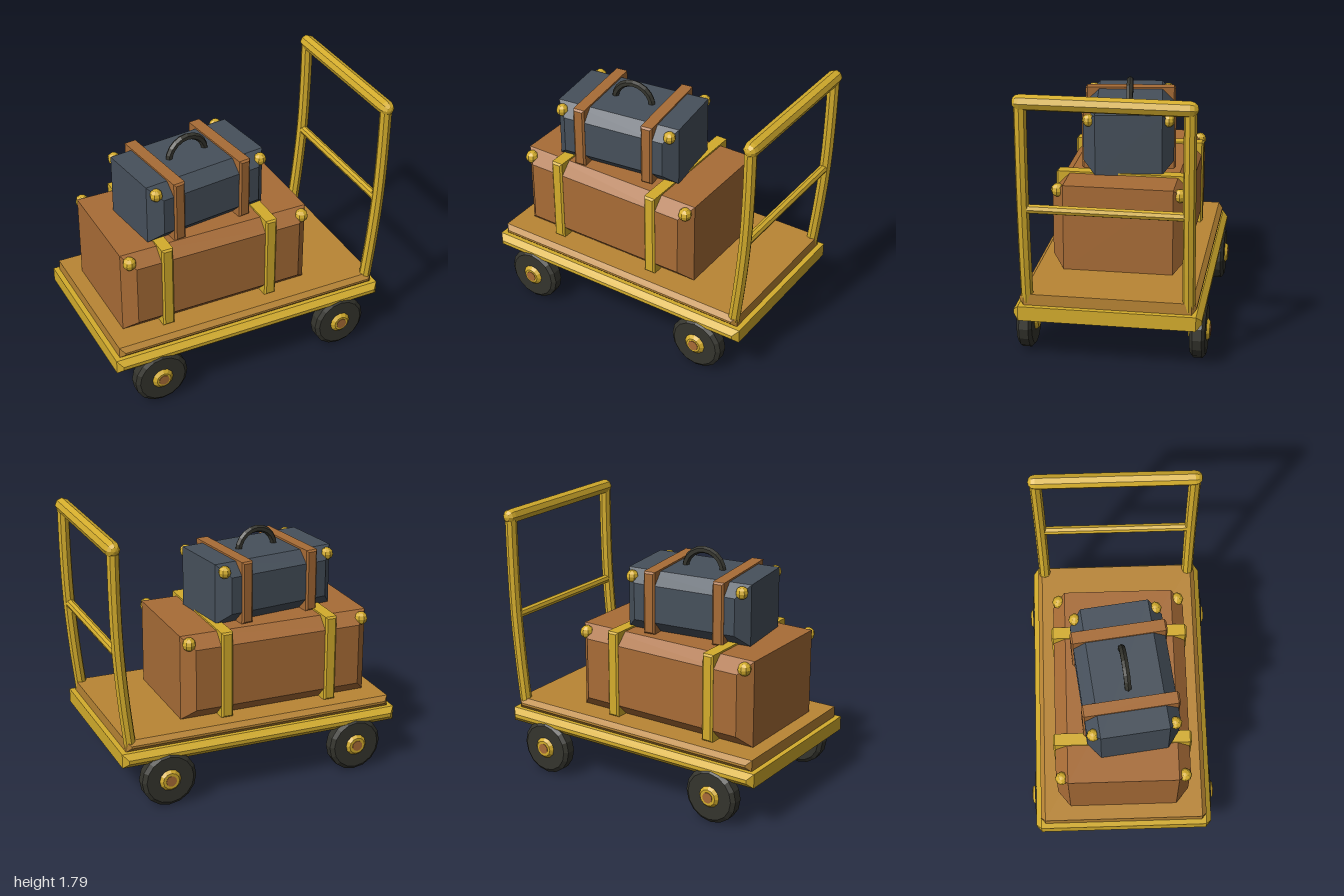
import * as THREE from 'three';

const material = (name, color) => {
  const m = new THREE.MeshStandardMaterial({ color });
  m.name = name;
  return m;
};

// Faceted normals for the low-poly look
function flat(geometry) {
  const g = geometry.index ? geometry.toNonIndexed() : geometry;
  g.computeVertexNormals();
  return g;
}

// Box whose front and back rims are chamfered, centred on the origin
function chamferBox(w, h, d, c) {
  const x = w / 2 - c, y = h / 2 - c;
  const shape = new THREE.Shape([
    new THREE.Vector2(-x, -y), new THREE.Vector2(x, -y),
    new THREE.Vector2(x, y), new THREE.Vector2(-x, y),
  ]);
  const g = new THREE.ExtrudeGeometry(shape, {
    depth: d - 2 * c, bevelEnabled: true, bevelSize: c, bevelThickness: c, bevelSegments: 1,
  });
  return g.translate(0, 0, -d / 2 + c);
}

// Turned part with its axis along z
function turned(points, sides) {
  const profile = points.map(([r, z]) => new THREE.Vector2(r, z));
  return new THREE.LatheGeometry(profile, sides).rotateX(Math.PI / 2);
}

export function createModel() {
  const yellow = material('yellow metal', 0xd4ad2c);
  const wood = material('deck wood', 0xb98534);
  const brown = material('brown leather', 0xa86c36);
  const navy = material('slate blue', 0x46505b);
  const black = material('black rubber', 0x34342d);

  const model = new THREE.Group();
  model.name = 'luggageCart';

  function add(parent, name, geometry, mat, x = 0, y = 0, z = 0) {
    const mesh = new THREE.Mesh(flat(geometry), mat);
    mesh.name = name;
    mesh.position.set(x, y, z);
    parent.add(mesh);
    return mesh;
  }

  // Platform
  add(model, 'frame', chamferBox(1.94, 0.095, 1.2, 0.035), yellow, -0.03, 0.353, 0);
  add(model, 'deck', chamferBox(1.87, 0.075, 1.13, 0.03), wood, -0.03, 0.437, 0);

  // Wheels with hubs and mounting posts
  const tyre = [[0.05, -0.05], [0.16, -0.05], [0.185, -0.03], [0.185, 0.03], [0.16, 0.05], [0.05, 0.05]];
  const hub = [[0, -0.07], [0.055, -0.07], [0.073, -0.05], [0.073, 0.05], [0.05, 0.07], [0, 0.07]];
  for (const x of [-0.7, 0.635]) {
    for (const side of [-1, 1]) {
      const wheel = new THREE.Group();
      wheel.name = 'wheel';
      wheel.position.set(x, 0.185, side * 0.56);
      model.add(wheel);
      add(wheel, 'tyre', turned(tyre, 16), black);
      add(wheel, 'hub', turned(hub, 12), yellow);
      add(wheel, 'hubCap', new THREE.CylinderGeometry(0.036, 0.036, 0.006, 12).rotateX(Math.PI / 2),
        brown, 0, 0, side * 0.071);
      add(model, 'wheelPost', new THREE.CylinderGeometry(0.03, 0.03, 0.13, 8), yellow, x, 0.25, side * 0.49);
    }
  }

  // Push handle: two curved posts, a top grip and a middle rail
  for (const z of [-0.515, 0.515]) {
    const path = new THREE.CatmullRomCurve3([
      [0.868, 0.42], [0.905, 0.75], [0.933, 1.1], [0.944, 1.45], [0.946, 1.745],
    ].map(([x, y]) => new THREE.Vector3(x, y, z)));
    add(model, 'handlePost', new THREE.TubeGeometry(path, 10, 0.04, 8), yellow);
  }
  add(model, 'handleGrip', new THREE.CapsuleGeometry(0.05, 1.03, 3, 8).rotateX(Math.PI / 2), yellow, 0.949, 1.745, 0);
  add(model, 'middleRail', new THREE.CylinderGeometry(0.03, 0.03, 1.06, 8).rotateX(Math.PI / 2), yellow, 0.93, 1.06, 0);

  // Suitcase with straps and corner studs, its base at the group origin
  function suitcase(name, [w, h, d], mat, strapMat, strapXs, strapWidth, strapDepth, studs, studRadius) {
    const group = new THREE.Group();
    group.name = name;
    add(group, 'caseBody', chamferBox(w, h, d, 0.08), mat, 0, h / 2, 0);
    for (const x of strapXs) {
      add(group, 'strap', chamferBox(strapWidth, h + 0.012, strapDepth, 0.012), strapMat, x, h / 2 + 0.006, 0);
    }
    for (const sx of [-1, 1]) {
      for (const sz of [-1, 1]) {
        add(group, 'cornerStud', new THREE.SphereGeometry(studRadius, 8, 6), yellow,
          sx * studs[0], h - 0.047, sz * studs[1]);
      }
    }
    model.add(group);
    return group;
  }

  const large = suitcase('largeSuitcase', [1.33, 0.58, 0.88], brown, yellow,
    [-0.373, 0.37], 0.08, 0.905, [0.617, 0.4], 0.045);
  large.position.set(-0.2, 0.475, 0);

  const small = suitcase('smallSuitcase', [0.88, 0.41, 0.6], navy, brown,
    [-0.247, 0.247], 0.08, 0.625, [0.393, 0.262], 0.042);
  small.position.set(-0.235, 1.055, 0.024);
  small.rotation.y = 0.125;
  add(small, 'carryHandle', new THREE.TorusGeometry(0.137, 0.024, 6, 10, Math.PI), black, 0, 0.39, 0);

  return model;
}
